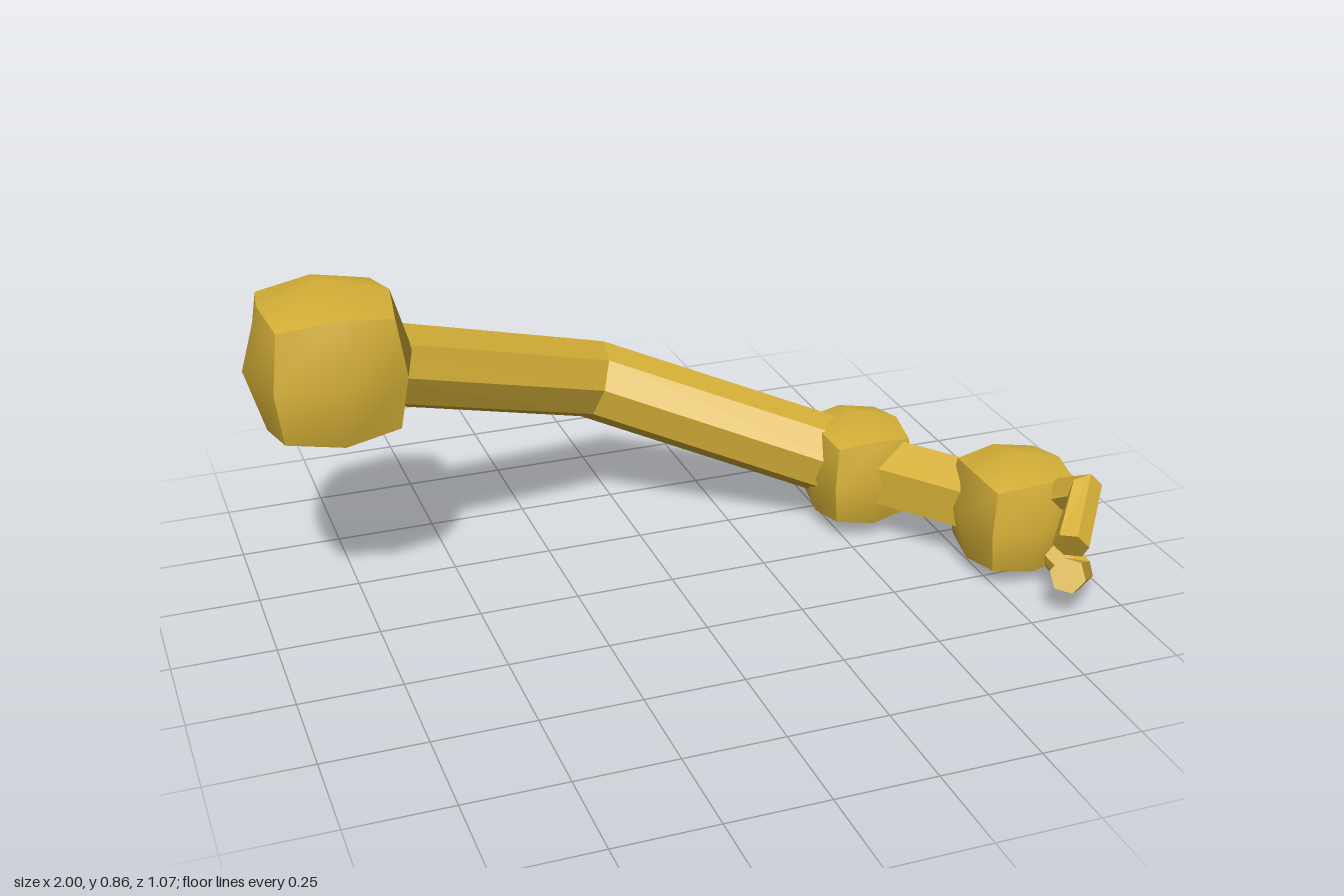
import * as THREE from 'three';

const V = (x, y, z) => new THREE.Vector3(x, y, z);

// Joint: a 2x2x2 box rounded by pulling in its edges and corners; each of the six sides stays smooth
function joint(name, center, radii, material) {
  const geo = new THREE.BoxGeometry(2, 2, 2, 2, 2, 2);
  const pos = geo.attributes.position;
  const pull = [1, 1, 0.775, 0.68];
  for (let i = 0; i < pos.count; i++) {
    const v = V().fromBufferAttribute(pos, i);
    const axes = Math.round(Math.abs(v.x) + Math.abs(v.y) + Math.abs(v.z));
    v.multiplyScalar(pull[axes]).multiply(radii);
    pos.setXYZ(i, v.x, v.y, v.z);
  }
  geo.computeVertexNormals();
  const mesh = new THREE.Mesh(geo, material);
  mesh.name = name;
  mesh.position.copy(center);
  return mesh;
}

// Limb: a faceted, capped prism swept through the points; ref sets where the first corner lies
function limb(name, points, radius, sides, ref, turn, material) {
  const rings = points.map((p, i) => {
    const t = V(0, 0, 0);
    if (i > 0) t.add(p.clone().sub(points[i - 1]).normalize());
    if (i < points.length - 1) t.add(points[i + 1].clone().sub(p).normalize());
    t.normalize();
    const n1 = ref.clone().addScaledVector(t, -ref.dot(t)).normalize();
    const n2 = t.clone().cross(n1);
    return Array.from({ length: sides }, (_, k) => {
      const a = turn + (k / sides) * Math.PI * 2;
      return p.clone().addScaledVector(n1, Math.cos(a) * radius).addScaledVector(n2, Math.sin(a) * radius);
    });
  });
  const tris = [];
  const last = points.length - 1;
  for (let k = 0; k < sides; k++) {
    const m = (k + 1) % sides;
    for (let i = 0; i < last; i++) {
      const [a, b, c, d] = [rings[i][k], rings[i][m], rings[i + 1][m], rings[i + 1][k]];
      tris.push(a, b, c, a, c, d);
    }
    tris.push(points[0], rings[0][m], rings[0][k]);
    tris.push(points[last], rings[last][k], rings[last][m]);
  }
  const geo = new THREE.BufferGeometry().setFromPoints(tris);
  geo.computeVertexNormals(); // unshared corners give flat facets
  const mesh = new THREE.Mesh(geo, material);
  mesh.name = name;
  return mesh;
}

export function createModel() {
  const group = new THREE.Group();
  group.name = 'jointedArm';
  const gold = new THREE.MeshStandardMaterial({ color: 0xd4af37 });
  gold.name = 'gold';

  const shoulder = V(-0.8, 0.667, -0.152);
  const elbow = V(-0.068, 0.392, -0.43);
  const wrist = V(0.572, 0.166, -0.152);
  const hand = V(0.842, 0.166, 0.212);

  // Joints
  group.add(
    joint('shoulderJoint', shoulder, V(0.2, 0.202, 0.204), gold),
    joint('wristJoint', wrist, V(0.145, 0.153, 0.156), gold),
    joint('handJoint', hand, V(0.158, 0.158, 0.158), gold),
  );

  // Bent eight-sided arm and straight six-sided wrist link
  group.add(
    limb('arm', [shoulder, elbow, wrist], 0.105, 8, V(0.34, 0.94, 0), -Math.PI / 36, gold),
    limb('wristLink', [wrist, hand], 0.1, 6, V(0, 1, 0), 0, gold),
  );

  // Pair of bent claws, mirrored above and below the hand
  for (const [name, s] of [['upperClaw', 1], ['lowerClaw', -1]]) {
    const path = [V(0.86, 0.02, 0.215), V(0.935, 0.117, 0.39), V(0.835, 0.041, 0.507)]
      .map((p) => V(p.x, hand.y + s * p.y, p.z));
    group.add(limb(name, path, 0.045, 6, V(0.72, 0.69 * s, 0), Math.PI / 6, gold));
  }
  return group;
}
